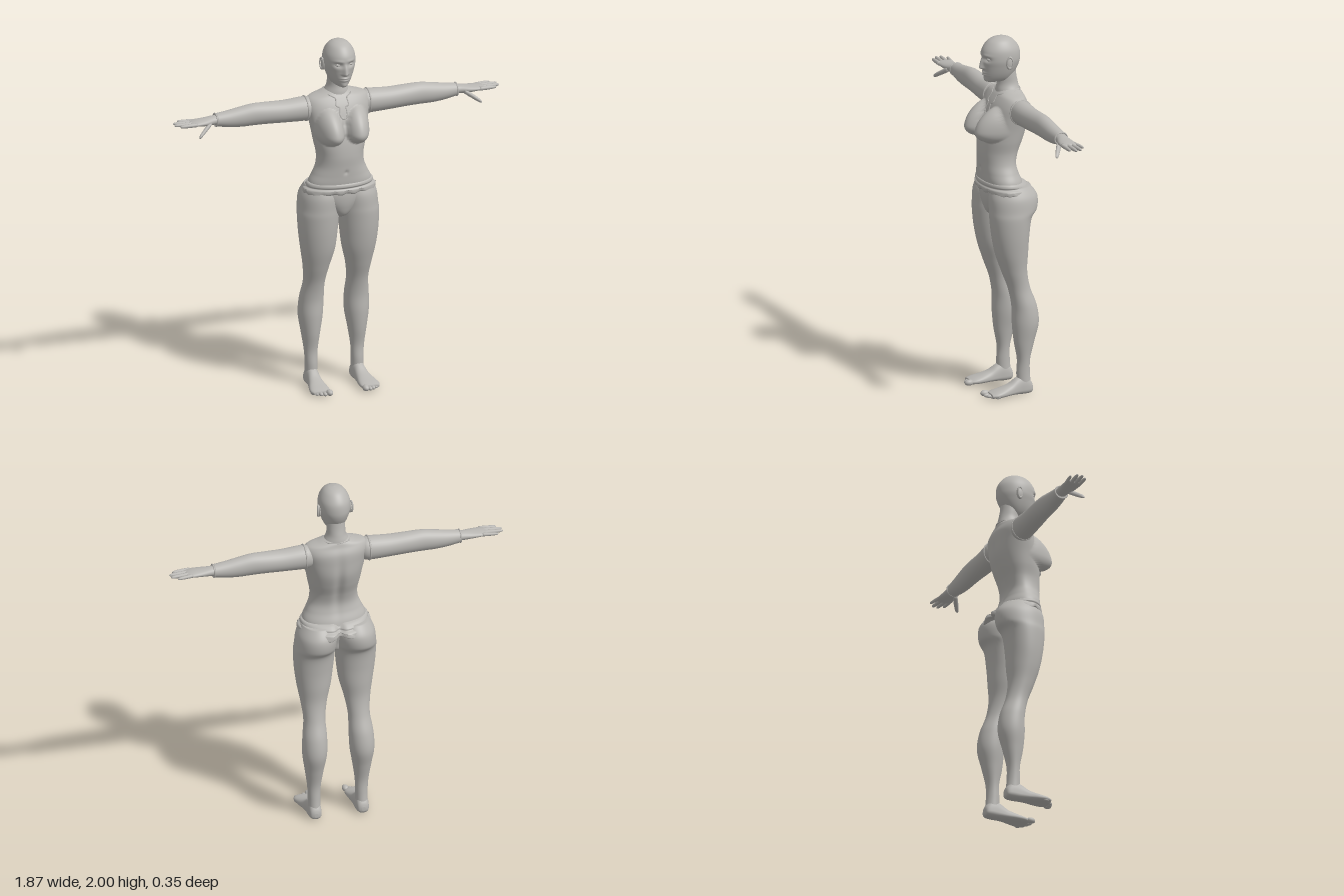
import * as THREE from 'three';

const skin = new THREE.MeshStandardMaterial({ color: 0xb8b6b2 });
skin.name = 'warm grey';

const bell = (d, w) => Math.exp(-(d * d) / (w * w));
const spow = (v, e) => Math.sign(v) * Math.pow(Math.abs(v), e);

// Smooth interpolation between whole rows of section numbers
function sample(rows, t) {
  const last = rows.length - 1, i = Math.min(Math.floor(t * last), last - 1), f = t * last - i;
  const at = k => rows[Math.max(0, Math.min(last, k))];
  const [a, b, c, d] = [at(i - 1), at(i), at(i + 1), at(i + 2)];
  return b.map((_, k) => b[k] + 0.5 * f * (c[k] - a[k]
    + f * (2 * a[k] - 5 * b[k] + 4 * c[k] - d[k] + f * (3 * (b[k] - c[k]) + d[k] - a[k]))));
}

// Closed skin over rows of [position on axis, centre u, centre v, radius u, radius +v, radius -v]
function loft(axis, rows, { around = 32, steps = 40, power = 1, deform } = {}) {
  const pos = [], idx = [];
  const put = (t, u, v, angle) => {
    const p = axis === 'x' ? new THREE.Vector3(t, u, v)
      : axis === 'y' ? new THREE.Vector3(u, t, v) : new THREE.Vector3(u, v, t);
    if (deform) deform(p, angle);
    pos.push(p.x, p.y, p.z);
  };
  for (let i = 0; i <= steps; i++) {
    const [t, cu, cv, ru, rp, rn] = sample(rows, i / steps);
    for (let j = 0; j < around; j++) {
      const a = j / around * Math.PI * 2, s = Math.sin(a);
      put(t, cu + ru * spow(Math.cos(a), power), cv + (s > 0 ? rp : rn) * spow(s, power), a);
    }
  }
  const flip = (axis === 'y') !== (rows[rows.length - 1][0] < rows[0][0]);
  const tri = (a, b, c) => flip ? idx.push(a, c, b) : idx.push(a, b, c);
  for (let i = 0; i < steps; i++) for (let j = 0; j < around; j++) {
    const k = (j + 1) % around, a = i * around, b = a + around;
    tri(a + j, a + k, b + j);
    tri(a + k, b + k, b + j);
  }
  // end caps
  const start = rows[0], end = rows[rows.length - 1], base = steps * around, n = pos.length / 3;
  put(start[0], start[1], start[2], 0);
  put(end[0], end[1], end[2], 0);
  for (let j = 0; j < around; j++) {
    const k = (j + 1) % around;
    tri(n, k, j);
    tri(n + 1, base + j, base + k);
  }
  const g = new THREE.BufferGeometry();
  g.setAttribute('position', new THREE.Float32BufferAttribute(pos, 3));
  g.setIndex(idx);
  g.computeVertexNormals();
  return g;
}

function mirrored(geo) {
  const g = geo.clone().scale(-1, 1, 1), a = g.index.array;
  for (let i = 0; i < a.length; i += 3) [a[i], a[i + 1]] = [a[i + 1], a[i]];
  return g;
}

const blob = (r, x, y, z, sx, sy, sz) =>
  new THREE.SphereGeometry(r, 20, 14).scale(sx, sy, sz).translate(x, y, z);

export function createModel() {
  const model = new THREE.Group();
  const add = (name, geo) => {
    const m = new THREE.Mesh(geo, skin);
    m.name = name;
    model.add(m);
    return m;
  };
  const pair = (name, geo) => { add('left' + name, geo); add('right' + name, mirrored(geo)); };

  // Torso with bust, spine groove and navel
  const torso = add('torso', loft('y', [
    [1.14, 0, 0, .175, .095, .12], [1.2, 0, 0, .177, .108, .105], [1.25, 0, 0, .155, .112, .085],
    [1.3, 0, 0, .135, .115, .077], [1.36, 0, 0, .131, .118, .092], [1.43, 0, 0, .145, .112, .12],
    [1.5, 0, -.005, .157, .102, .135], [1.57, 0, -.02, .171, .098, .123], [1.63, 0, -.035, .181, .09, .105],
    [1.672, 0, -.045, .165, .075, .077], [1.694, 0, -.052, .1, .064, .062], [1.71, 0, -.053, .055, .05, .05],
  ], {
    around: 112, steps: 120, power: .92, deform: p => {
      if (p.z > 0) {
        const dx = (Math.abs(p.x) - .082) / .074, dy = (p.y - 1.495) / (p.y > 1.495 ? .13 : .066);
        p.z += .085 * Math.pow(Math.max(0, 1 - dx * dx - dy * dy), .7);
        p.z -= .008 * bell(p.x, .008) * bell(p.y - 1.27, .012);
      } else p.z += .014 * bell(p.x, .025) * bell(p.y - 1.42, .17);
    },
  }));

  // Neck
  const neck = add('neck', loft('y', [
    [1.85, 0, -.04, .05, .04, .05], [1.78, 0, -.045, .051, .052, .052], [1.735, 0, -.049, .053, .058, .057],
    [1.7, 0, -.053, .068, .069, .06], [1.66, 0, -.055, .09, .075, .06],
  ], { around: 40 }));

  // Head with nose, eye sockets, brows, lips and chin
  add('head', loft('y', [
    [2, 0, -.008, .003, .003, .003], [1.993, 0, -.008, .035, .042, .042], [1.972, 0, -.008, .062, .078, .075],
    [1.93, 0, -.01, .083, .108, .102], [1.88, 0, -.01, .087, .113, .108], [1.84, 0, -.01, .079, .108, .099],
    [1.8, 0, -.01, .066, .103, .077], [1.77, 0, -.01, .05, .097, .05], [1.753, 0, -.01, .033, .088, .03],
    [1.745, 0, -.005, .012, .06, .015],
  ], {
    around: 112, steps: 100, deform: p => {
      if (p.z < .03) return;
      const { x, y } = p, ax = Math.abs(x);
      const ramp = y > 1.832 ? Math.max(0, 1 - (y - 1.832) / .06) : Math.max(0, 1 - (1.832 - y) / .012);
      p.z += .024 * ramp * bell(x, .009 + .006 * ramp)
        - .013 * bell(ax - .035, .02) * bell(y - 1.885, .013)
        + .004 * bell(ax - .036, .025) * bell(y - 1.906, .008)
        + .007 * bell(x, .021) * (bell(y - 1.806, .005) + bell(y - 1.793, .005))
        + .004 * bell(x, .02) * bell(y - 1.762, .012);
    },
  }));
  pair('Eye', blob(.015, .035, 1.884, .073, 1.1, .65, 1));
  pair('Ear', blob(.036, .086, 1.866, -.022, .27, 1, .55));
  pair('EarRim', new THREE.TorusGeometry(.022, .005, 8, 24).scale(.7, 1.4, 1).rotateY(Math.PI / 2 - .3)
    .translate(.093, 1.868, -.024));

  // Legs
  pair('Leg', loft('y', [
    [1.18, .1, -.02, .085, .1, .11], [1.12, .105, -.03, .11, .13, .14], [1.05, .112, -.03, .113, .132, .136],
    [1, .116, -.025, .114, .126, .105], [.9, .118, -.02, .107, .11, .095], [.8, .118, -.02, .094, .09, .09],
    [.7, .122, -.035, .073, .072, .07], [.6, .125, -.06, .06, .06, .063], [.5, .13, -.085, .067, .065, .074],
    [.4, .133, -.095, .067, .074, .075], [.3, .134, -.09, .052, .06, .055], [.2, .134, -.085, .038, .037, .036],
    [.12, .133, -.083, .034, .038, .037], [.05, .133, -.085, .034, .038, .042],
  ], { around: 48, steps: 90 }));

  // Pelvis between the legs
  add('pelvis', loft('y', [
    [1.19, 0, 0, .16, .095, .1], [1.12, 0, 0, .15, .1, .1], [1.06, 0, 0, .1, .092, .085],
    [1.01, 0, 0, .045, .07, .07], [.985, 0, 0, .01, .02, .02],
  ], { around: 48 }));

  // Feet and toes
  pair('Foot', loft('z', [
    [-.136, .133, .03, .01, .012, .012], [-.125, .133, .03, .03, .04, .026], [-.09, .133, .03, .037, .08, .03],
    [-.045, .134, .028, .037, .068, .026], [0, .137, .024, .042, .043, .021], [.05, .141, .022, .052, .027, .021],
    [.09, .143, .02, .055, .018, .019], [.12, .142, .018, .045, .011, .014],
  ], { around: 36, power: .85 }));
  for (let i = 0; i < 5; i++) {
    const r = i ? .0125 - i * .0006 : .018;
    pair('Toe' + (i + 1), blob(r, [.104, .13, .15, .169, .186][i], r + .002, .132 - i * i * .0028,
      1, .95, i ? 1.7 : 1.4));
  }

  // Arms
  pair('Arm', loft('x', [
    [.14, 1.61, -.05, .055, .05, .05], [.18, 1.61, -.05, .067, .063, .063], [.3, 1.608, -.051, .062, .059, .059],
    [.4, 1.611, -.053, .061, .055, .055], [.48, 1.612, -.054, .061, .05, .05], [.55, 1.607, -.055, .056, .047, .047],
    [.62, 1.604, -.056, .047, .043, .043], [.695, 1.606, -.057, .035, .037, .037],
  ]));
  const ring = (x, y, z, r, tube, sz) =>
    new THREE.TorusGeometry(r, tube, 8, 40).rotateY(Math.PI / 2).scale(1, 1, sz).translate(x, y, z);
  pair('ArmholeTrim', ring(.18, 1.61, -.05, .067, .005, .94));
  pair('Cuff', ring(.694, 1.606, -.057, .035, .004, 1.05));

  // Hands
  pair('Palm', loft('x', [
    [.67, 1.607, -.057, .026, .032, .032], [.71, 1.607, -.056, .025, .034, .034], [.76, 1.606, -.05, .021, .042, .042],
    [.81, 1.607, -.048, .016, .046, .046], [.84, 1.607, -.048, .011, .042, .042], [.848, 1.607, -.048, .004, .036, .036],
  ], { steps: 24 }));
  const finger = (x0, y0, z0, x1, y1, z1, r) => loft('x', [0, .5, .9, 1].map((f, i) => {
    const k = r * [1, .95, .7, .1][i];
    return [x0 + (x1 - x0) * f, y0 + (y1 - y0) * f, z0 + (z1 - z0) * f, k, k, k];
  }), { around: 12, steps: 12 });
  [.902, .934, .937, .912].forEach((tip, i) => pair('Finger' + (i + 1),
    finger(.815, 1.608, -.083 + i * .024, tip, 1.609 - i * .001, -.097 + i * .0275, i ? .0115 : .01)));
  pair('Thumb', finger(.73, 1.6, -.03, .815, 1.543, .022, .015));

  // Folded waistband with a ragged hem
  add('waistband', loft('y', [
    [1.206, 0, 0, .165, .1, .11], [1.2, 0, 0, .184, .112, .125], [1.186, 0, 0, .19, .115, .145],
    [1.176, 0, 0, .187, .109, .148], [1.166, 0, 0, .202, .115, .168], [1.148, 0, 0, .205, .114, .176],
    [1.138, 0, 0, .2, .106, .172], [1.138, 0, 0, .17, .09, .14],
  ], {
    around: 112, steps: 40, deform: (p, a) => {
      if (p.y < 1.16) p.y += .006 * Math.sin(7 * a) + .004 * Math.sin(17 * a + 1) + .012 * bell(p.x, .04);
      if (p.z < 0) { p.y += p.z * .1; p.z += .03 * bell(p.x, .022); }
    },
  }));

  // Raised seams laid on the front of the body
  const seam = (name, pts, r, closed = false) =>
    add(name, new THREE.TubeGeometry(new THREE.CatmullRomCurve3(pts, closed, 'catmullrom', .2), 100, r, 6, closed));
  const onFront = ([x, y]) => {
    const ray = new THREE.Raycaster(new THREE.Vector3(x, y, 1), new THREE.Vector3(0, 0, -1));
    const hit = ray.intersectObjects([torso, neck])[0];
    return new THREE.Vector3(x, y, hit ? hit.point.z : 0);
  };
  const half = [[.062, 1.69], [.032, 1.675], [.036, 1.638], [.017, 1.63], [.021, 1.592], [.012, 1.572]];
  const keyhole = [...half, [0, 1.566], ...half.map(([x, y]) => [-x, y]).reverse()].map(onFront);
  const behind = [[-.08, 1.698, -.055], [-.055, 1.7, -.1], [0, 1.7, -.117], [.055, 1.7, -.1], [.08, 1.698, -.055]];
  seam('neckline', [...keyhole, ...behind.map(p => new THREE.Vector3(...p))], .0035, true);

  return model;
}
